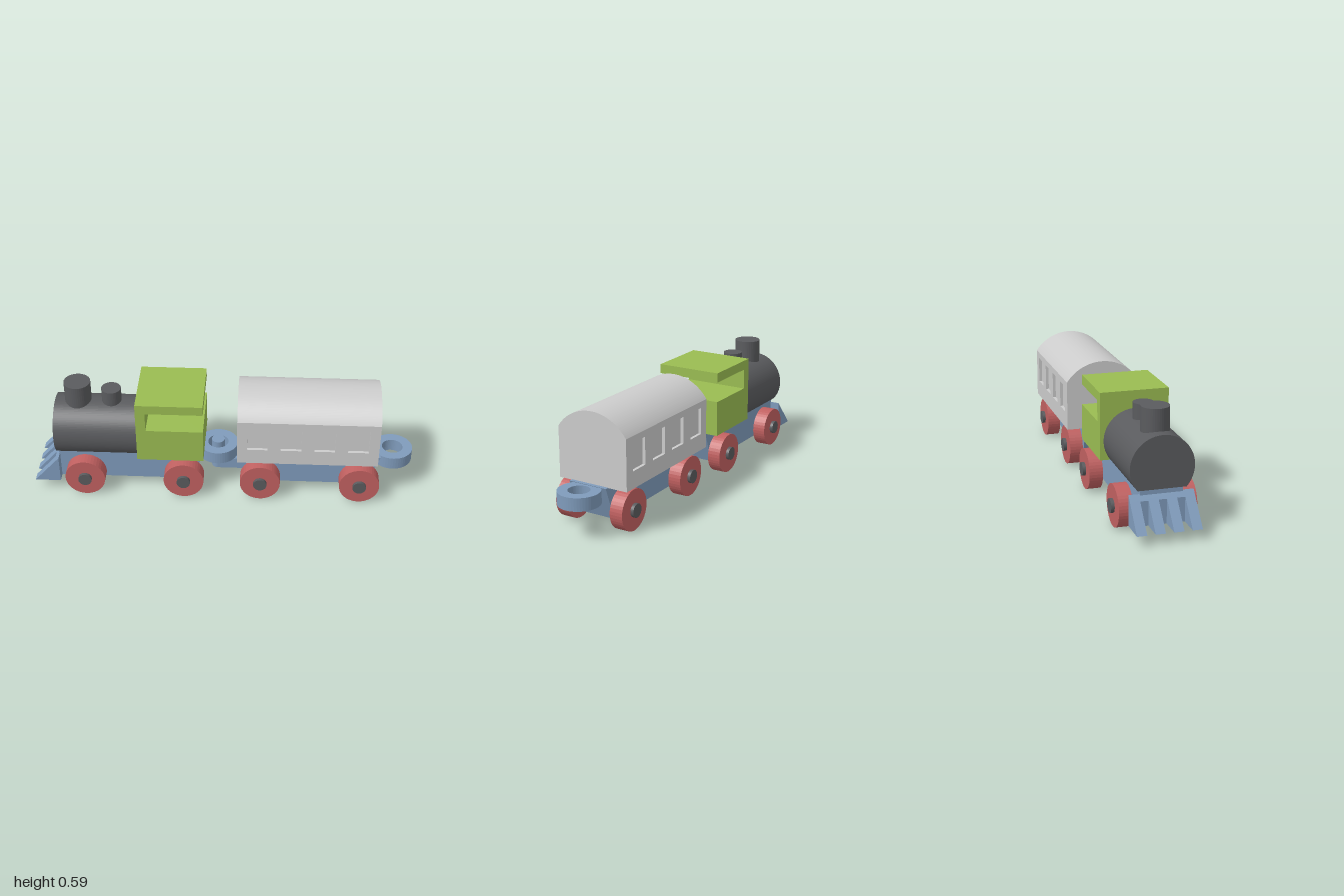
import * as THREE from 'three';

const mat = (color) => new THREE.MeshStandardMaterial({ color, flatShading: true });
const blue = mat(0x7f9bbb), red = mat(0xc06060), green = mat(0x9abc52), dark = mat(0x5a5b5e), grey = mat(0xcccccc);

function add(parent, name, geometry, material, x = 0, y = 0, z = 0) {
  const mesh = new THREE.Mesh(geometry, material);
  mesh.name = name;
  mesh.position.set(x, y, z);
  parent.add(mesh);
  return mesh;
}

const poly = (points) => new THREE.Shape(points.map(([x, y]) => new THREE.Vector2(x, y)));

// Extrusion centred on z = 0
function extrude(shape, depth, curveSegments = 24) {
  return new THREE.ExtrudeGeometry(shape, { depth, bevelEnabled: false, curveSegments })
    .translate(0, 0, -depth / 2);
}

const cylinderY = (r, h) => new THREE.CylinderGeometry(r, r, h, 40);
const cylinderZ = (r, h) => cylinderY(r, h).rotateX(Math.PI / 2);

// Chassis with ends leaning inward, plus a flat coupling ring behind it
function addChassis(parent, shape, ringX) {
  add(parent, 'chassis', extrude(shape, 0.21), blue);
  const ring = new THREE.Shape().absarc(0, 0, 0.105, 0, Math.PI * 2);
  ring.holes.push(new THREE.Path().absarc(0, 0, 0.054, 0, Math.PI * 2, true));
  add(parent, 'couplingRing', extrude(ring, 0.067).rotateX(-Math.PI / 2), blue, ringX, 0.194, 0);
}

// One axle with a wheel at each end
function addWheelset(parent, x) {
  add(parent, 'axle', cylinderZ(0.035, 0.418), dark, x, 0.105, 0);
  for (const side of [-1, 1]) add(parent, 'wheel', cylinderZ(0.105, 0.07), red, x, 0.105, side * 0.157);
}

function createEngine() {
  const engine = new THREE.Group();
  engine.name = 'engine';
  addChassis(engine, poly([[-0.87, 0.055], [-0.165, 0.055], [-0.1, 0.23], [-0.87, 0.23]]), -0.03);
  addWheelset(engine, -0.725);
  addWheelset(engine, -0.205);

  // Cowcatcher: solid back and four sloping teeth
  add(engine, 'cowcatcherBack',
    extrude(poly([[-0.89, 0.055], [-0.865, 0.055], [-0.865, 0.205], [-0.89, 0.178]]), 0.316), blue);
  const tooth = extrude(poly([[-1, 0.055], [-0.89, 0.055], [-0.89, 0.178]]), 0.049);
  for (let i = 0; i < 4; i++) add(engine, 'cowcatcherTooth', tooth, blue, 0, 0, (i - 1.5) * 0.089);

  // Boiler with a flat underside
  const round = new THREE.Shape().absarc(0, 0.328, 0.157, -0.716, Math.PI + 0.716);
  round.closePath();
  add(engine, 'boiler', extrude(round, 0.435, 40).rotateY(Math.PI / 2), dark, -0.6625, 0, 0);
  add(engine, 'chimney', cylinderY(0.069, 0.17), dark, -0.76, 0.508, 0);
  add(engine, 'steamDome', cylinderY(0.051, 0.13), dark, -0.585, 0.493, 0);

  // Cab open at the back and both sides
  add(engine, 'cab', extrude(poly([
    [-0.445, 0.23], [-0.1, 0.23], [-0.1, 0.418], [-0.395, 0.418],
    [-0.395, 0.525], [-0.1, 0.525], [-0.1, 0.575], [-0.445, 0.575],
  ]), 0.35), green);
  return engine;
}

function createCarriage() {
  const carriage = new THREE.Group();
  carriage.name = 'carriage';
  addChassis(carriage, poly([[0.155, 0.055], [0.76, 0.055], [0.825, 0.23], [0.09, 0.23]]), 0.892);
  addWheelset(carriage, 0.197);
  addWheelset(carriage, 0.717);

  // Hook: round-ended bar with an upright pin
  const bar = new THREE.Shape().moveTo(0.2, 0.034).lineTo(-0.03, 0.034);
  bar.absarc(-0.03, 0, 0.034, Math.PI / 2, Math.PI * 1.5);
  bar.lineTo(0.2, -0.034).closePath();
  add(carriage, 'couplingBar', extrude(bar, 0.065).rotateX(-Math.PI / 2), blue, 0, 0.1075, 0);
  add(carriage, 'couplingPin', cylinderY(0.034, 0.17), blue, -0.03, 0.16, 0);

  // Body core with arched roof; narrower below the eaves to take the side panels
  const half = 0.1925, recess = 0.016, floor = 0.228, eaves = 0.488, zMid = -0.0175;
  const arcY = 0.359, radius = Math.hypot(half, eaves - arcY), a = Math.atan2(eaves - arcY, half);
  const inner = half - recess;
  const section = new THREE.Shape().moveTo(-inner, floor).lineTo(inner, floor).lineTo(inner, eaves).lineTo(half, eaves);
  section.absarc(0, arcY, radius, a, Math.PI - a);
  section.lineTo(-inner, eaves).closePath();
  add(carriage, 'carriageBody', extrude(section, 0.73, 28).rotateY(Math.PI / 2), grey, 0.44, 0, zMid);

  // Side panels with four window openings each
  const panel = poly([[0.075, floor], [0.805, floor], [0.805, eaves], [0.075, eaves]]);
  for (let i = 0; i < 4; i++) {
    const x0 = 0.127 + i * 0.173, x1 = x0 + 0.106;
    panel.holes.push(poly([[x0, 0.315], [x0, 0.455], [x1, 0.455], [x1, 0.315]]));
  }
  const panelGeometry = extrude(panel, recess);
  for (const side of [-1, 1]) {
    add(carriage, 'windowPanel', panelGeometry, grey, 0, 0, zMid + side * (half - recess / 2));
  }
  return carriage;
}

export function createModel() {
  const model = new THREE.Group();
  model.name = 'toyTrain';
  model.add(createEngine(), createCarriage());
  return model;
}
